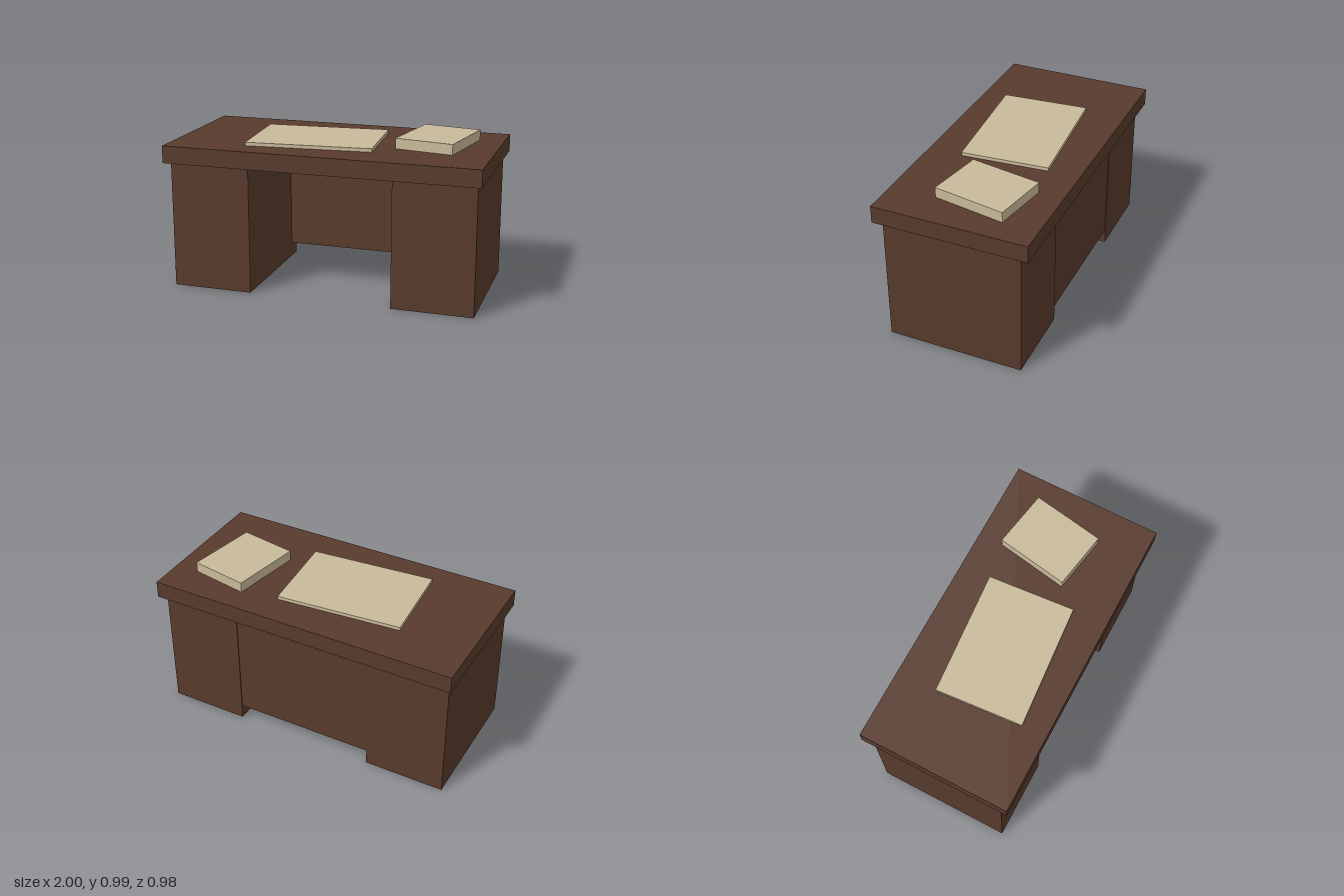
import * as THREE from 'three';

export function createModel() {
  const model = new THREE.Group();
  model.name = 'desk';

  const wood = new THREE.MeshStandardMaterial({ color: 0x583a2c });
  wood.name = 'dark wood';
  const paper = new THREE.MeshStandardMaterial({ color: 0xc8b999 });
  paper.name = 'cream paper';

  // Box given by its size, the height of its underside and its centre in x and z
  function addBox(name, material, [w, h, d], [x, bottom, z], turn = 0) {
    const mesh = new THREE.Mesh(new THREE.BoxGeometry(w, h, d), material);
    mesh.name = name;
    mesh.position.set(x, bottom + h / 2, z);
    mesh.rotation.y = turn;
    model.add(mesh);
  }

  // Overhanging table top
  addBox('deskTop', wood, [2, 0.11, 0.976], [0, 0.815, 0]);

  // Solid pedestals on both sides of the knee space
  for (const [side, name] of [[1, 'leftPedestal'], [-1, 'rightPedestal']]) {
    addBox(name, wood, [0.514, 0.815, 0.866], [side * 0.713, 0, 0]);
  }

  // Modesty panel at the back, with a narrow gap under the top
  addBox('modestyPanel', wood, [0.912, 0.707, 0.092], [0, 0.094, -0.382]);

  // Loose items lying askew on the top
  addBox('deskBlotter', paper, [0.798, 0.022, 0.557], [-0.135, 0.925, 0.02], 0.081);
  addBox('paperStack', paper, [0.375, 0.066, 0.467], [0.62, 0.925, -0.068], -0.174);

  return model;
}
